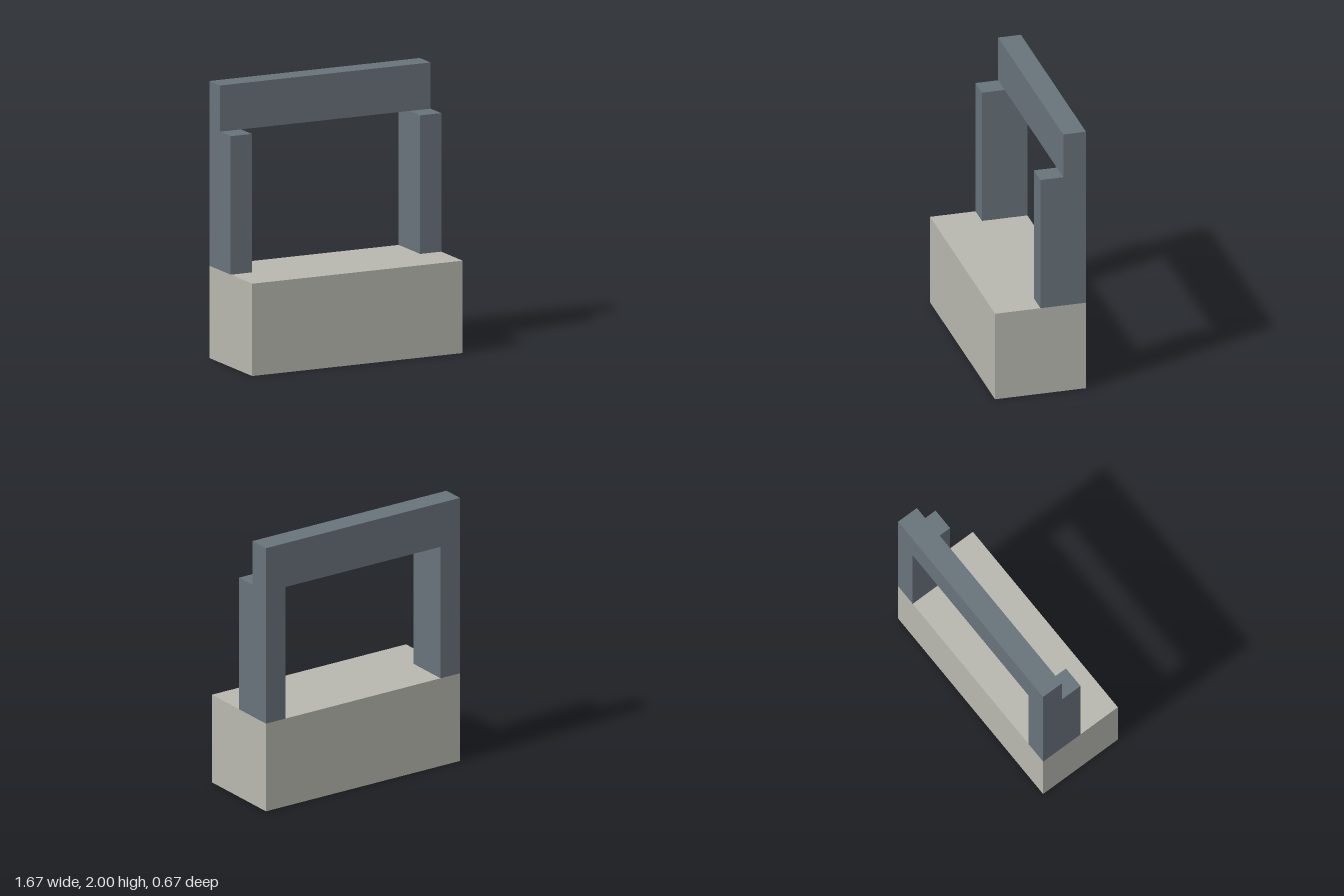
import * as THREE from 'three';

const U = 1 / 6; // grid unit shared by all parts

export function createModel() {
  const model = new THREE.Group();
  model.name = 'counterWithFrame';
  const stone = new THREE.MeshStandardMaterial({ color: 0xb8b8b0 });
  const slate = new THREE.MeshStandardMaterial({ color: 0x69737b });

  // Box given by size and by the centre of its underside, in grid units
  function block(name, material, [w, h, d], [x, y, z]) {
    const geometry = new THREE.BoxGeometry(w * U, h * U, d * U);
    const mesh = new THREE.Mesh(geometry, material);
    mesh.name = name;
    mesh.position.set(x * U, (y + h / 2) * U, z * U);
    model.add(mesh);
  }

  // Solid base
  block('base', stone, [10, 4, 4], [0, 0, 0]);

  // Posts at the back corners
  for (const side of [-1, 1]) {
    block(side > 0 ? 'leftPost' : 'rightPost', slate, [1, 6, 2], [side * 4.5, 4, -1]);
  }

  // Thinner beam across the posts, flush with the back
  block('topBeam', slate, [10, 2, 1], [0, 10, -1.5]);

  return model;
}
